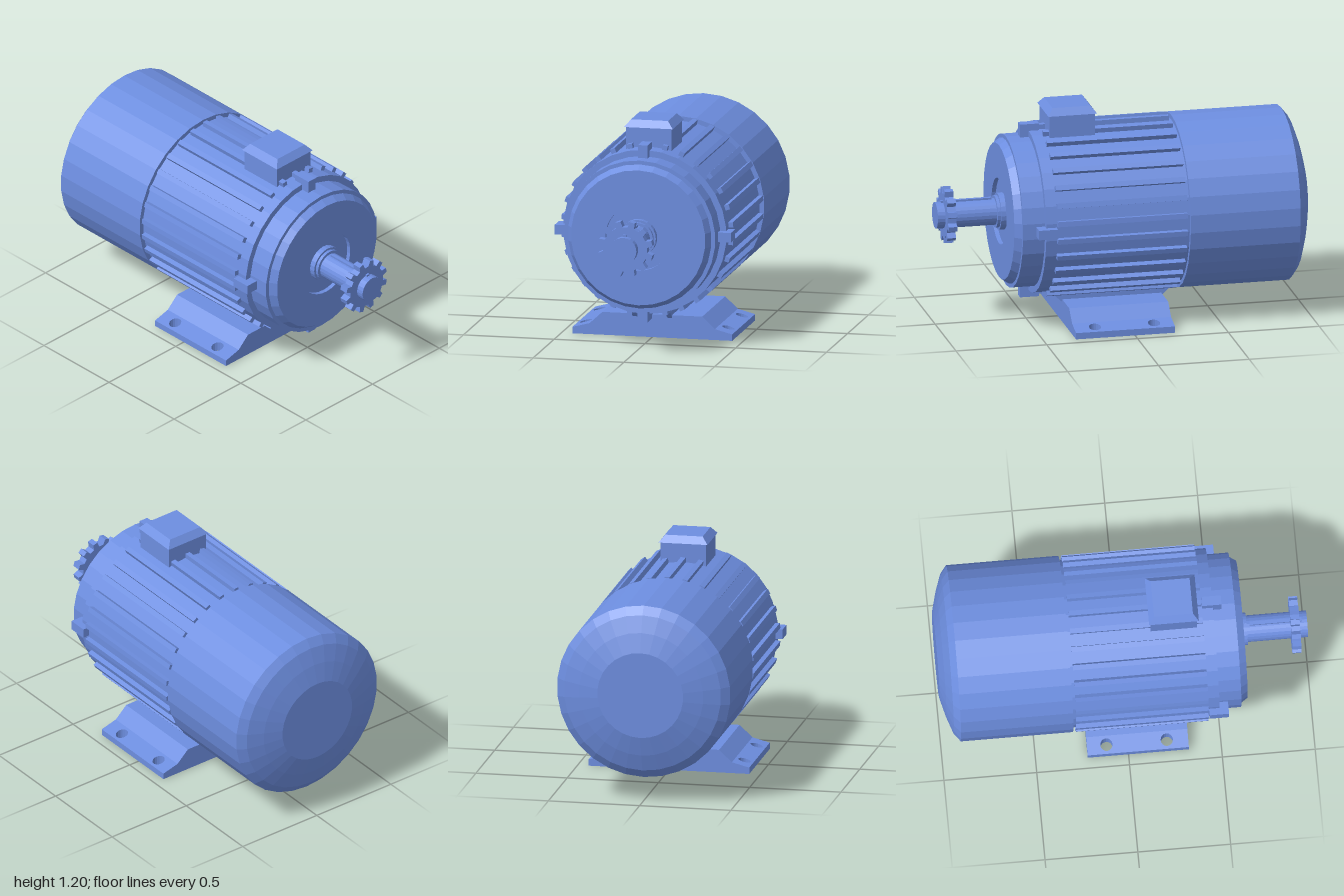
import * as THREE from 'three';

const AXIS_Y = 0.61;

export function createModel() {
  const model = new THREE.Group();
  const blue = new THREE.MeshStandardMaterial({ color: 0x6d8ee0 });

  // Faceted mesh: every face keeps its own normal
  function add(name, geometry, parent = model) {
    const flat = geometry.index ? geometry.toNonIndexed() : geometry;
    flat.computeVertexNormals();
    const mesh = new THREE.Mesh(flat, blue);
    mesh.name = name;
    parent.add(mesh);
    return mesh;
  }
  const group = (name, parent = model) => {
    const g = new THREE.Group();
    g.name = name;
    parent.add(g);
    return g;
  };
  const box = (w, h, d, x, y, z) => new THREE.BoxGeometry(w, h, d).translate(x, y, z);
  // Turned part along z, points are [radius, z] from back to front
  const turned = (points, sides = 30) =>
    new THREE.LatheGeometry(points.map(([r, z]) => new THREE.Vector2(r, z)), sides).rotateX(Math.PI / 2);
  const outline = (points) => new THREE.Shape(points.map(([x, y]) => new THREE.Vector2(x, y)));
  const extrude = (shape, depth) =>
    new THREE.ExtrudeGeometry(shape, { depth, bevelEnabled: false, curveSegments: 8 });

  // Everything centred on the motor axis
  const motor = group('motor');
  motor.position.set(-0.003, AXIS_Y, 0);

  add('fanCover', turned([[0, -1], [0.235, -1], [0.34, -0.972], [0.43, -0.94],
    [0.475, -0.905], [0.475, -0.3], [0.44, -0.3]]), motor);
  add('housing', turned([[0.45, -0.305], [0.45, 0.49], [0.4, 0.49]]), motor);
  add('endBell', turned([[0.416, 0.48], [0.416, 0.61], [0.395, 0.61], [0.37, 0.648],
    [0.18, 0.648], [0.18, 0.625], [0, 0.625]]), motor);

  // Cooling fins around the housing
  const fins = group('coolingFins', motor);
  for (let i = 0; i < 30; i++) {
    const fin = add('fin', box(0.028, 0.05, 0.715, 0, 0.45, 0.0725), fins);
    fin.rotation.z = (i / 30) * Math.PI * 2;
  }

  // Clamping lugs on four sides
  const lugs = group('lugs', motor);
  for (let i = 0; i < 4; i++) {
    const lug = add('lug', box(0.053, 0.085, 0.105, 0, 0.4425, 0.485), lugs);
    lug.rotation.z = (i * Math.PI) / 2;
  }

  // Output shaft with stepped collar and key
  add('shaftCollar', turned([[0.1, 0.62], [0.1, 0.657], [0.088, 0.657], [0.088, 0.674], [0.07, 0.674]], 24), motor);
  add('shaft', turned([[0.072, 0.62], [0.072, 1], [0, 1]], 24), motor);
  add('shaftKey', box(0.02, 0.03, 0.28, 0, 0.066, 0.83), motor);

  // Pinion with twelve teeth
  const teeth = [];
  for (let i = 0; i < 12; i++) {
    const mid = ((i + 0.5) / 12) * Math.PI * 2;
    for (const [r, a] of [[0.122, -0.15], [0.153, -0.09], [0.153, 0.09], [0.122, 0.15]]) {
      teeth.push([r * Math.cos(mid + a), r * Math.sin(mid + a)]);
    }
  }
  add('pinion', extrude(outline(teeth), 0.048).translate(0, 0, 0.91), motor);

  // Terminal box with a sloped lid
  const terminal = group('terminalBox');
  terminal.position.set(-0.003, 0, 0.272);
  add('terminalBody', box(0.25, 0.13, 0.25, 0, 1.1, 0), terminal);
  const lid = box(0.268, 0.038, 0.268, 0, 1.181, 0);
  const lp = lid.attributes.position;
  for (let i = 0; i < lp.count; i++) {
    if (lp.getY(i) > 1.18) lp.setXYZ(i, lp.getX(i) * 0.76, 1.2, lp.getZ(i) * 0.78);
  }
  add('terminalLid', lid, terminal);

  // Foot: raised middle and two sloped flanges with bolt holes
  const foot = group('foot');
  const zBack = -0.22, zFront = 0.325;
  add('footMiddle', extrude(outline([[-0.345, 0], [0.345, 0], [0.345, 0.06], [0.275, 0.125],
    [-0.275, 0.125], [-0.345, 0.06]]), zFront - zBack).translate(0, 0, zBack), foot);
  for (const side of [-1, 1]) {
    const x0 = side < 0 ? -0.44 : 0.345;
    const plan = outline([[x0, -zFront], [x0 + 0.095, -zFront], [x0 + 0.095, -zBack], [x0, -zBack]]);
    for (const z of [0.21, -0.115]) {
      plan.holes.push(new THREE.Path().absarc(side * 0.392, -z, 0.033, 0, Math.PI * 2, true));
    }
    const flange = extrude(plan, 1).rotateX(-Math.PI / 2);
    const p = flange.attributes.position;
    for (let i = 0; i < p.count; i++) {
      const top = 0.035 + ((0.44 - Math.abs(p.getX(i))) / 0.095) * 0.025;
      p.setY(i, p.getY(i) > 0.5 ? top : 0);
    }
    add('footFlange', flange, foot);

    // Web joining the foot to the housing
    const web = outline([[-0.325, 0.11], [0.22, 0.11], [0.285, 0.17], [-0.39, 0.17]]);
    add('footWeb', extrude(web, 0.026).translate(0, 0, -0.013).rotateY(Math.PI / 2)
      .translate(side * 0.095, 0, 0), foot);
  }

  return model;
}
